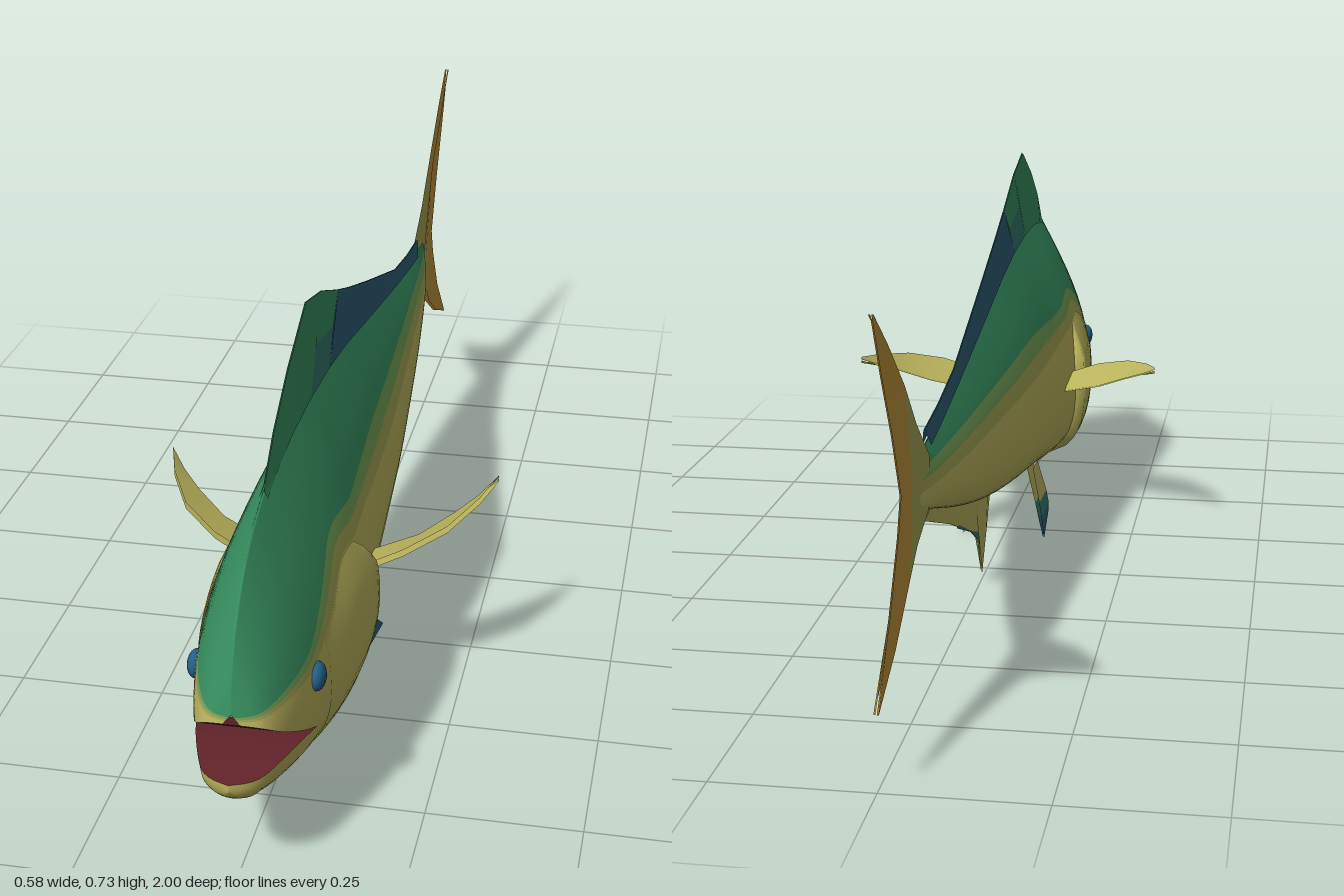
import * as THREE from 'three';
import { mergeVertices } from 'three/addons/utils/BufferGeometryUtils.js';

const paint = (name, color) => {
  const m = new THREE.MeshStandardMaterial({ color, side: THREE.DoubleSide });
  m.name = name;
  return m;
};

// Smooth interpolation through [z, value] points listed by rising z
function curve(points) {
  const slope = (i) => {
    const a = points[Math.max(i - 1, 0)], b = points[Math.min(i + 1, points.length - 1)];
    return (b[1] - a[1]) / (b[0] - a[0]);
  };
  return (z) => {
    const last = points.length - 1;
    if (z <= points[0][0]) return points[0][1];
    if (z >= points[last][0]) return points[last][1];
    let i = 0;
    while (z > points[i + 1][0]) i++;
    const [z0, v0] = points[i], [z1, v1] = points[i + 1], h = z1 - z0, t = (z - z0) / h;
    return v0 * (1 + 2 * t) * (1 - t) ** 2 + v1 * t * t * (3 - 2 * t)
      + h * (slope(i) * t * (1 - t) ** 2 - slope(i + 1) * t * t * (1 - t));
  };
}

// Body outline, half width and colour lines along z
const top = curve([[-0.7, 0.4], [-0.4, 0.44], [-0.2, 0.475], [0, 0.51], [0.2, 0.545], [0.46, 0.568], [0.6, 0.568],
  [0.7, 0.557], [0.81, 0.525], [0.88, 0.48], [0.93, 0.42], [0.96, 0.355], [0.97, 0.297]]);
const bottom = curve([[-0.7, 0.325], [-0.6, 0.3], [-0.4, 0.243], [-0.2, 0.193], [0, 0.155], [0.3, 0.108], [0.45, 0.083],
  [0.6, 0.072], [0.7, 0.079], [0.8, 0.096], [0.9, 0.123], [0.96, 0.147], [0.985, 0.163], [1, 0.182]]);
const width = curve([[-0.7, 0.008], [-0.6, 0.024], [-0.4, 0.045], [-0.2, 0.062], [0, 0.078], [0.2, 0.09], [0.4, 0.101],
  [0.55, 0.114], [0.7, 0.112], [0.8, 0.1], [0.87, 0.085], [0.93, 0.066], [0.97, 0.048], [0.99, 0.028], [1, 0]]);
const bellyLine = curve([[-0.7, 0.355], [-0.35, 0.345], [0.2, 0.345], [0.52, 0.36], [0.62, 0.372], [0.73, 0.33],
  [0.82, 0.297], [0.9, 0.288], [0.97, 0.285]]);
const backLine = curve([[-0.7, 0.385], [-0.35, 0.39], [-0.07, 0.4], [0.2, 0.41], [0.46, 0.403], [0.62, 0.42],
  [0.73, 0.375], [0.82, 0.325], [0.9, 0.305], [0.97, 0.292]]);
const upperLip = curve([[0.82, 0.19], [0.87, 0.215], [0.93, 0.25], [0.97, 0.28]]);
const lowerLip = curve([[0.82, 0.19], [0.87, 0.199], [0.95, 0.2], [1, 0.195]]);

function halfWidth(z, y) {
  const t = THREE.MathUtils.clamp((y - bottom(z)) / (top(z) - bottom(z)), 0, 1);
  const f = t < 0.32 ? Math.sqrt(Math.max(0, 1 - ((0.32 - t) / 0.32) ** 2.4))
    : Math.max(0, Math.cos((t - 0.32) / 0.68 * Math.PI / 2));
  return width(z) * f;
}
const upperZ = (s) => (s > 0.82 ? 0.82 + (s - 0.82) * 0.15 / 0.18 : s);
const lips = (s) => {
  const z = upperZ(s), joint = bottom(s) + 0.214 * (top(s) - bottom(s));
  return { low: s > 0.82 ? lowerLip(s) : joint, high: s > 0.82 ? upperLip(z) : joint };
};

// Grid of rows x columns of points, wound for a +x facing surface unless flipped
function addGrid(pos, index, rows, cols, point, flip) {
  const start = pos.length / 3;
  for (let i = 0; i <= rows; i++) for (let j = 0; j <= cols; j++) pos.push(...point(i, j));
  for (let i = 0; i < rows; i++) for (let j = 0; j < cols; j++) {
    const a = start + i * (cols + 1) + j, b = a + 1, d = a + cols + 1, c = d + 1;
    index.push(...(flip ? [a, d, b, b, d, c] : [a, b, d, b, c, d]));
  }
}
function toGeometry(pos, index, weld = true) {
  let g = new THREE.BufferGeometry();
  g.setAttribute('position', new THREE.Float32BufferAttribute(pos, 3));
  g.setIndex(index);
  if (weld) g = mergeVertices(g, 1e-5);
  return g;
}

export function createModel() {
  const fish = new THREE.Group();
  fish.name = 'fish';
  const yellow = paint('belly yellow', 0xbdb65e), olive = paint('olive', 0xa5a656), moss = paint('moss green', 0x76a259);
  const green = paint('back green', 0x389161), teal = paint('teal', 0x34796c), blue = paint('fin blue', 0x2d6075);
  const orange = paint('tail orange', 0xc1953a), red = paint('mouth red', 0x62242a), eyeBlue = paint('eye blue', 0x235f86);
  const add = (name, geometry, material) => {
    const mesh = new THREE.Mesh(geometry, material);
    mesh.name = name;
    fish.add(mesh);
    return mesh;
  };

  // Body: colour bands running from tail to snout, open at the mouth
  const stations = [];
  for (let i = 0; i <= 48; i++) stations.push(-0.7 + 1.52 * i / 48);
  for (let i = 1; i <= 16; i++) stations.push(0.82 + 0.18 * Math.sin(i / 16 * Math.PI / 2));
  const capped = (f, z, gap) => Math.min(f(z), top(z) - gap);
  const bands = [
    { n: 10, z: (s) => s, lo: bottom, hi: (s) => lips(s).low, ease: (u) => u * u },
    { n: 6, z: upperZ, lo: (s) => lips(s).high, hi: (s) => capped(bellyLine, upperZ(s), 0.01), ease: (u) => u },
    { n: 2, z: upperZ, lo: (s) => capped(bellyLine, upperZ(s), 0.01),
      hi: (s) => (capped(bellyLine, upperZ(s), 0.01) + capped(backLine, upperZ(s), 0.004)) / 2, ease: (u) => u },
    { n: 2, z: upperZ, lo: (s) => (capped(bellyLine, upperZ(s), 0.01) + capped(backLine, upperZ(s), 0.004)) / 2,
      hi: (s) => capped(backLine, upperZ(s), 0.004), ease: (u) => u },
    { n: 10, z: upperZ, lo: (s) => capped(backLine, upperZ(s), 0.004), hi: (s) => top(upperZ(s)), ease: (u) => 1 - (1 - u) ** 1.6 },
  ];
  const pos = [], index = [], groups = [];
  bands.forEach((band, k) => {
    const from = index.length;
    for (const side of [1, -1]) addGrid(pos, index, stations.length - 1, band.n, (i, j) => {
      const s = stations[i], z = band.z(s), lo = band.lo(s);
      const y = lo + (band.hi(s) - lo) * band.ease(j / band.n);
      return [side * halfWidth(z, y), y, z];
    }, side < 0);
    groups.push([from, index.length - from, k]);
  });
  const bodyGeometry = toGeometry(pos, index);
  groups.forEach((g) => bodyGeometry.addGroup(...g));
  bodyGeometry.computeVertexNormals();
  add('body', bodyGeometry, [yellow, yellow, olive, moss, green]);

  // Mouth lining: palate and floor meeting at the corner of the jaws
  for (const part of ['palate', 'mouthFloor']) {
    const p = [], ix = [], isFloor = part === 'mouthFloor';
    addGrid(p, ix, 16, 4, (i, j) => {
      const s = stations[48 + i], z = isFloor ? s : upperZ(s), y = isFloor ? lips(s).low : lips(s).high;
      return [halfWidth(z, y) * (j / 2 - 1), y, z];
    }, isFloor);
    const g = toGeometry(p, ix);
    g.computeVertexNormals();
    add(part, g, red);
  }

  // Gill covers: shells that lift off the head towards a curved rear edge
  const gillEdge = curve([[0, 0.55], [0.2, 0.505], [0.5, 0.485], [0.75, 0.488], [0.92, 0.515], [1, 0.545]]);
  for (const side of [1, -1]) {
    const p = [], ix = [];
    addGrid(p, ix, 13, 14, (i, j) => {
      const u = Math.max(0, (i - 1) / 12), v = j / 14;
      const z = gillEdge(v) + (0.77 - gillEdge(v)) * u;
      const lo = bottom(z) + 0.004, y = lo + (Math.min(0.37, bellyLine(z) - 0.002) - lo) * v;
      const lift = i === 0 ? -0.004 : 0.001 + 0.018 * (1 - u) ** 0.8 * Math.min(1, 5 * (1 - v));
      return [side * (halfWidth(z, y) + lift), y, z];
    }, side < 0);
    const g = toGeometry(p, ix);
    g.computeVertexNormals();
    add(side > 0 ? 'leftGillCover' : 'rightGillCover', g, yellow);
  }

  // Eyes
  for (const side of [1, -1]) {
    const eye = add(side > 0 ? 'leftEye' : 'rightEye', new THREE.SphereGeometry(0.023, 20, 14), eyeBlue);
    eye.scale.x = 0.6;
    eye.position.set(side * (halfWidth(0.815, 0.277) - 0.001), 0.277, 0.815);
  }

  // Fin: two skins through rows of [z, y, x] points, thickness given per row
  function fin(name, material, rows, thickness, side = 1, axis = 0) {
    const p = [], ix = [];
    for (const face of [1, -1]) addGrid(p, ix, rows.length - 1, rows[0].length - 1, (i, j) => {
      const [z, y, x = 0] = rows[i][j], v = [x, y, z];
      v[axis] += face * thickness[i];
      v[0] *= side;
      return v;
    }, face < 0);
    const g = toGeometry(p, ix, false);
    g.computeVertexNormals();
    add(name, g, material);
  }

  // Dorsal fin
  fin('dorsalFinFront', green, [
    [[0.75, 0.535], [0.68, 0.55], [0.58, 0.56], [0.5, 0.56], [0.45, 0.56]],
    [[0.75, 0.548], [0.68, 0.61], [0.58, 0.67], [0.45, 0.728], [0.33, 0.7]]], [0.007, 0.001]);
  fin('dorsalFinMiddle', teal, [
    [[0.45, 0.56], [0.3, 0.55]], [[0.39, 0.63], [0.25, 0.605]]], [0.007, 0.0035]);
  fin('dorsalFinMiddleEdge', green, [
    [[0.39, 0.63], [0.25, 0.605]], [[0.33, 0.7], [0.2, 0.65]]], [0.0035, 0.001]);
  fin('dorsalFinRear', blue, [
    [[0.3, 0.55], [0.15, 0.53], [-0.07, 0.49], [-0.34, 0.443], [-0.5, 0.418], [-0.6, 0.405]],
    [[0.2, 0.65], [0.1, 0.615], [-0.07, 0.56], [-0.36, 0.47], [-0.5, 0.447], [-0.625, 0.435]]], [0.007, 0.001]);

  // Tail fin
  fin('tailRoot', olive, [
    [[-0.645, 0.402], [-0.64, 0.36], [-0.65, 0.318]],
    [[-0.72, 0.47], [-0.7, 0.37], [-0.72, 0.28]],
    [[-0.79, 0.545], [-0.74, 0.39], [-0.765, 0.24]]], [0.012, 0.007, 0.004]);
  fin('tailFork', orange, [
    [[-1, 0.695], [-0.91, 0.635], [-0.79, 0.545], [-0.74, 0.39], [-0.765, 0.24], [-0.88, 0.17], [-1, 0.12]],
    [[-1, 0.695], [-0.94, 0.595], [-0.87, 0.49], [-0.813, 0.385], [-0.835, 0.33], [-0.905, 0.225], [-1, 0.12]]], [0.004, 0.001]);

  // Anal fin with a teal trailing rim
  fin('analFin', yellow, [
    [[0.03, 0.155], [-0.03, 0.17], [-0.08, 0.18], [-0.18, 0.198], [-0.4, 0.25], [-0.61, 0.305]],
    [[0.03, 0.145], [-0.02, 0.075], [-0.065, 0.015], [-0.1, 0.1], [-0.4, 0.213], [-0.63, 0.29]]], [0.006, 0.001]);
  fin('analFinRim', teal, [
    [[-0.075, 0.045], [-0.1, 0.1], [-0.18, 0.142], [-0.32, 0.186]],
    [[-0.078, 0.043], [-0.106, 0.09], [-0.185, 0.131], [-0.325, 0.182]]], [0.0015, 0.001]);

  // Paired pectoral and pelvic fins
  for (const [label, side] of [['left', 1], ['right', -1]]) {
    fin(label + 'PectoralFin', yellow, [
      [[0.47, 0.265, 0.09], [0.45, 0.293, 0.16], [0.395, 0.314, 0.225], [0.31, 0.329, 0.268], [0.24, 0.338, 0.29]],
      [[0.385, 0.25, 0.08], [0.35, 0.275, 0.17], [0.31, 0.302, 0.225], [0.275, 0.32, 0.26], [0.24, 0.338, 0.29]]],
    [0.006, 0.001], side, 1);
    fin(label + 'PelvicFin', yellow, [
      [[0.44, 0.09, 0.03], [0.31, 0.11, 0.038]],
      [[0.385, 0.044, 0.058], [0.26, 0.053, 0.06]]], [0.006, 0.004], side);
    fin(label + 'PelvicFinBand', teal, [
      [[0.385, 0.044, 0.058], [0.26, 0.053, 0.06]],
      [[0.365, 0.027, 0.066], [0.23, 0.029, 0.07]]], [0.004, 0.003], side);
    fin(label + 'PelvicFinTip', blue, [
      [[0.365, 0.027, 0.066], [0.23, 0.029, 0.07]],
      [[0.345, 0.014, 0.071], [0.2, 0.001, 0.081]]], [0.003, 0.001], side);
  }
  return fish;
}
